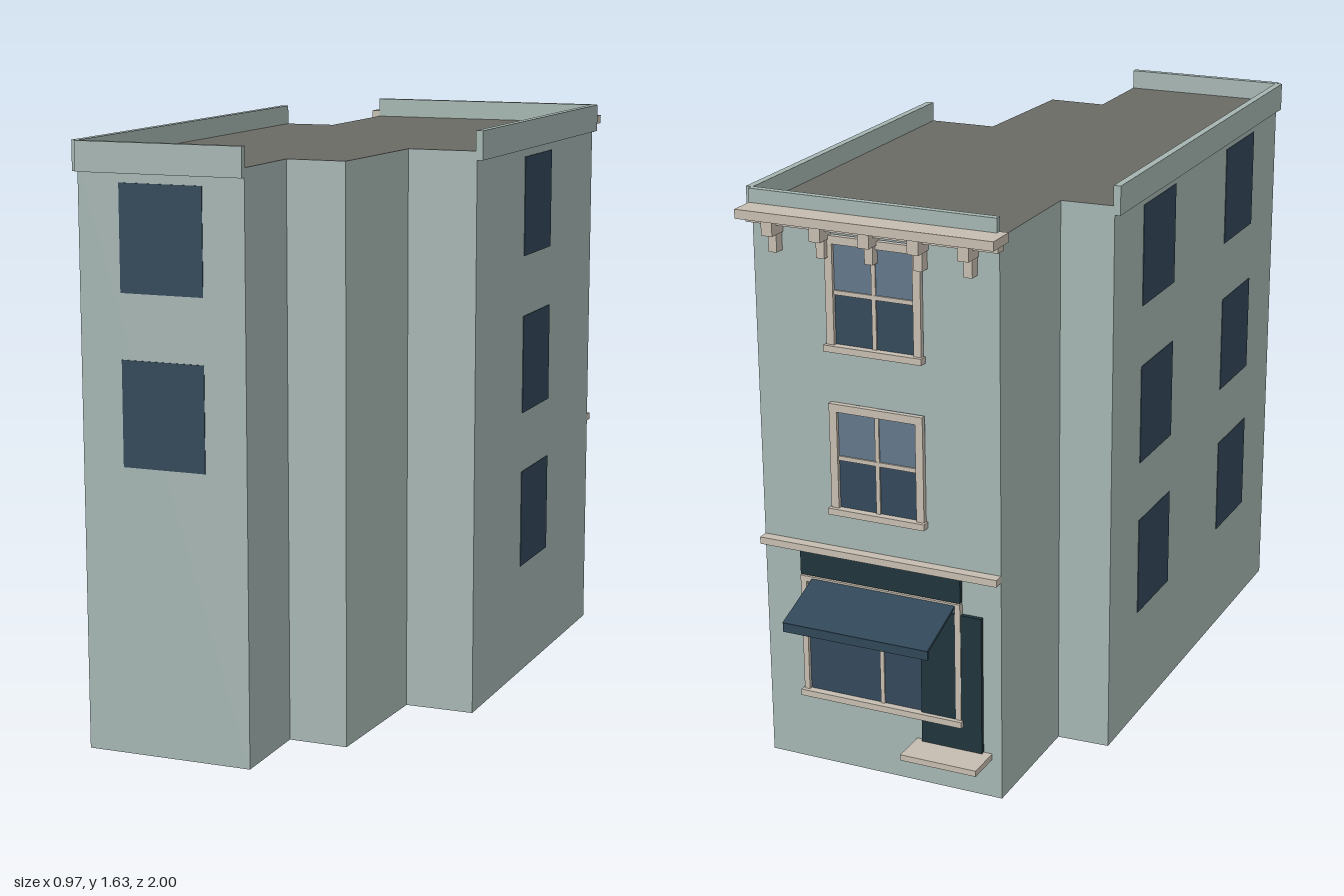
import * as THREE from 'three';

const mat = (color) => new THREE.MeshStandardMaterial({ color });
const WALL = mat(0xa6b6b2), ROOF = mat(0x6b6b65), GLASS = mat(0x34495a), PANE = mat(0x62768a);
const TRIM = mat(0xc6bdb0), DARK = mat(0x20343c), AWNING = mat(0x2f4656);

// Footprint corners as [x, z], each wall running left to right seen from outside
const A = [-0.285, 0.98], B = [0.18, 0.91], C = [0.145, 0.655], D = [0.31, 0.632], E = [0.275, 0.237];
const F = [0.47, 0.207], G = [0.325, -0.842], H = [-0.376, -0.745], I = [-0.322, -0.362], J = [-0.47, -0.335];
const ROOF_Y = 1.58;
const FLOORS = [0.325, 0.785, 1.245];
const WIN_H = 0.285;

// Box given by its x, y and z ranges
function block(parent, name, material, [x0, x1], [y0, y1], [z0, z1]) {
  const mesh = new THREE.Mesh(new THREE.BoxGeometry(x1 - x0, y1 - y0, z1 - z0), material);
  mesh.position.set((x0 + x1) / 2, (y0 + y1) / 2, (z0 + z1) / 2);
  mesh.name = name;
  parent.add(mesh);
  return mesh;
}

// Group at the middle of a wall: +x along the wall, +z outward
function wallGroup(parent, name, p, q) {
  const g = new THREE.Group();
  g.name = name;
  g.position.set((p[0] + q[0]) / 2, 0, (p[1] + q[1]) / 2);
  g.rotation.y = Math.atan2(p[1] - q[1], q[0] - p[0]);
  g.userData.length = Math.hypot(q[0] - p[0], q[1] - p[1]);
  parent.add(g);
  return g;
}

function parapet(wall) {
  const h = wall.userData.length / 2;
  block(wall, 'parapet', WALL, [-h, h], [1.555, 1.635], [-0.004, 0.016]);
}

// Flat dark window panels at positions along a wall
function plainWindows(wall, centres, floors, width) {
  for (const c of centres) for (const y of floors) {
    block(wall, 'plainWindow', GLASS, [c - width / 2, c + width / 2], [y, y + WIN_H], [-0.004, 0.002]);
  }
}

// Framed window with lighter upper panes, a cross of bars and a sill
function sashWindow(parent, name, w, y0, y1, t) {
  const g = new THREE.Group();
  g.name = name;
  parent.add(g);
  const h = w / 2, mid = (y0 + y1) / 2;
  block(g, 'lowerPane', GLASS, [-h, h], [y0, mid], [-0.004, 0.003]);
  block(g, 'upperPane', PANE, [-h, h], [mid, y1], [-0.004, 0.004]);
  for (const s of [-1, 1]) {
    const x = s * (h - t / 2);
    block(g, 'sideFrame', TRIM, [x - t / 2, x + t / 2], [y0, y1], [-0.004, 0.014]);
  }
  block(g, 'topFrame', TRIM, [-h, h], [y1 - t, y1], [-0.004, 0.016]);
  block(g, 'mullion', TRIM, [-0.006, 0.006], [y0, y1 - t], [-0.004, 0.008]);
  block(g, 'midRail', TRIM, [-h + t, h - t], [mid - 0.006, mid + 0.006], [-0.004, 0.009]);
  block(g, 'sill', TRIM, [-h - 0.005, h + 0.005], [y0 - 0.006, y0 + 0.012], [-0.004, 0.025]);
}

function shopFacade(wall) {
  const h = wall.userData.length / 2;
  for (const y of FLOORS.slice(1)) sashWindow(wall, 'sashWindow', 0.275, y - 0.018, y + WIN_H + 0.005, 0.022);

  // Roof cornice with brackets
  block(wall, 'corniceSlab', TRIM, [-h, h + 0.025], [1.572, 1.597], [0, 0.09]);
  block(wall, 'corniceMoulding', TRIM, [-h, h + 0.012], [1.55, 1.572], [0, 0.035]);
  for (let i = -2; i <= 2; i++) {
    const x = i * 0.14;
    block(wall, 'bracketHead', TRIM, [x - 0.016, x + 0.016], [1.525, 1.572], [0, 0.058]);
    block(wall, 'bracketFoot', TRIM, [x - 0.012, x + 0.012], [1.475, 1.53], [0, 0.03]);
  }

  // Shopfront
  block(wall, 'shopCornice', TRIM, [-h, h], [0.64, 0.66], [0, 0.03]);
  block(wall, 'signBand', DARK, [-0.24, 0.24], [0.565, 0.637], [0, 0.014]);
  sashWindow(wall, 'shopWindow', 0.48, 0.207, 0.562, 0.016);
  block(wall, 'door', DARK, [0.12, 0.3], [0.125, 0.53], [0, 0.012]);
  block(wall, 'doorStep', TRIM, [0.1, 0.325], [0.113, 0.13], [0, 0.105]);

  // Sloping awning with a hanging front edge
  const drop = 0.065, reach = 0.18;
  const canopy = block(wall, 'awningCanopy', AWNING,
    [-0.205, 0.225], [0, 0.008], [-Math.hypot(drop, reach) / 2, Math.hypot(drop, reach) / 2]);
  canopy.position.set(0.01, 0.526, reach / 2);
  canopy.rotation.x = Math.atan2(drop, reach);
  block(wall, 'awningValance', AWNING, [-0.205, 0.225], [0.47, 0.497], [0.174, 0.18]);
}

export function createModel() {
  const model = new THREE.Group();
  model.name = 'cornerShopBuilding';

  // Stepped main block, roof and base in grey
  const shape = new THREE.Shape([A, B, C, D, E, F, G, H, I, J].map(([x, z]) => new THREE.Vector2(x, -z)));
  const body = new THREE.ExtrudeGeometry(shape, { depth: ROOF_Y, bevelEnabled: false });
  body.rotateX(-Math.PI / 2);
  const mesh = new THREE.Mesh(body, [ROOF, WALL]);
  mesh.name = 'building';
  model.add(mesh);

  const front = wallGroup(model, 'frontWall', A, B);
  const right = wallGroup(model, 'rightWall', F, G);
  const back = wallGroup(model, 'shopFacade', G, H);
  const left = wallGroup(model, 'leftWall', J, A);
  [front, right, back, left].forEach(parapet);

  const quarter = left.userData.length / 4;
  plainWindows(front, [0], FLOORS.slice(1), 0.235);
  plainWindows(right, [0], FLOORS, 0.242);
  plainWindows(left, [-quarter, quarter], FLOORS, 0.242);
  shopFacade(back);
  return model;
}
